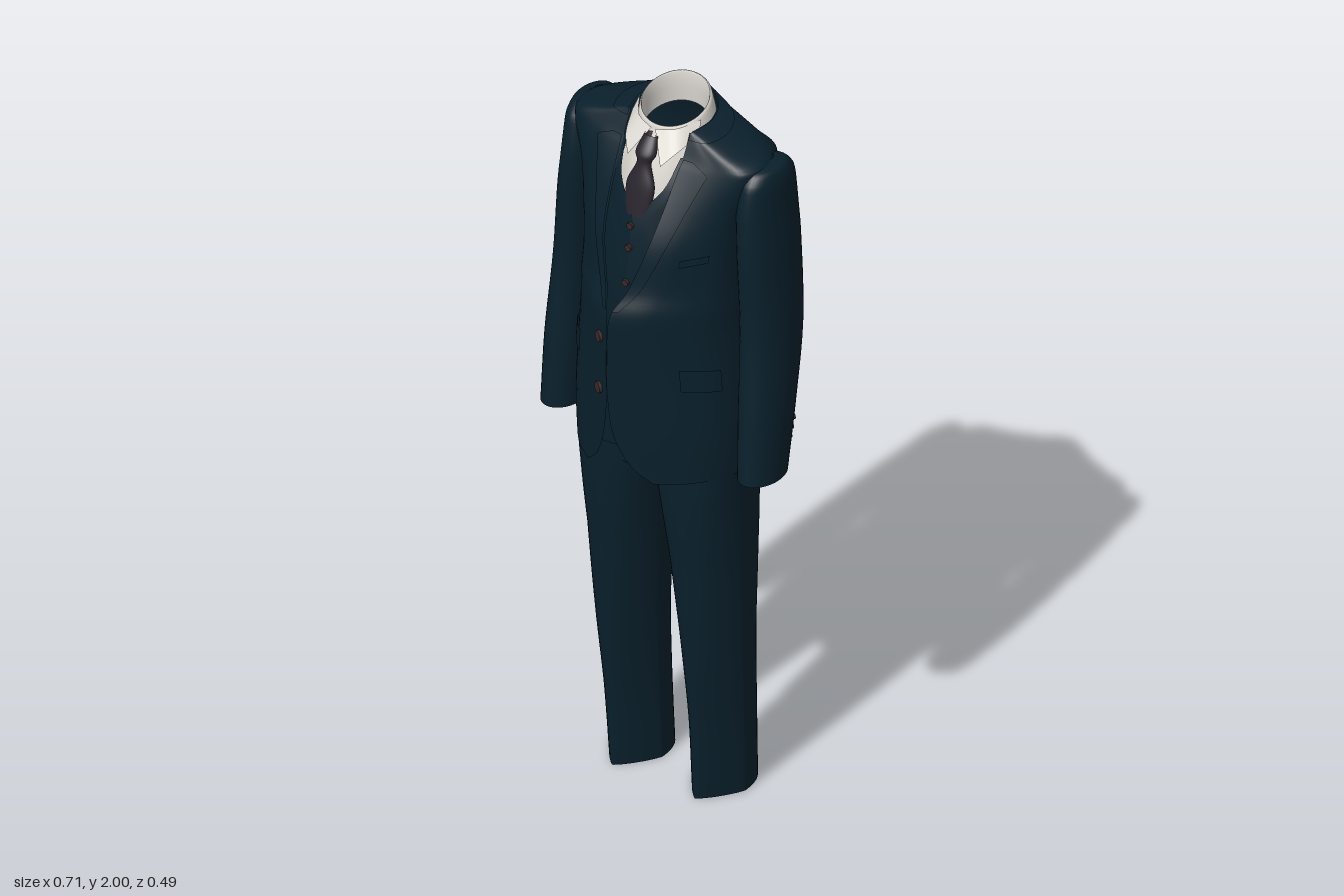
import * as THREE from 'three';
import { mergeVertices } from 'three/addons/utils/BufferGeometryUtils.js';

const V = (x, y, z) => new THREE.Vector3(x, y, z);
const mat = (name, color) =>
  Object.assign(new THREE.MeshStandardMaterial({ color, side: THREE.DoubleSide }), { name });

// Smooth surface through rows of control points: (u along a row, v across rows)
function surface(rows) {
  const curves = rows.map(r => new THREE.CatmullRomCurve3(r));
  return (u, v) => new THREE.CatmullRomCurve3(curves.map(c => c.getPoint(u))).getPoint(v);
}

// Tube of rounded sections: [y, centreX, centreZ, radiusX, radiusZ, squareness of the front half]
function loft(rows, backSquareness = 2) {
  const centre = new THREE.CatmullRomCurve3(rows.map(r => V(r[1], r[0], r[2])));
  const size = new THREE.CatmullRomCurve3(rows.map(r => V(r[3], r[4], r[5] ?? 2)));
  return (u, v) => {
    const c = centre.getPoint(v), s = size.getPoint(v), a = u * Math.PI * 2;
    const n = Math.sin(a) > 0 ? s.z : backSquareness;
    const round = t => Math.sign(t) * Math.pow(Math.abs(t), 2 / n);
    return V(c.x + s.x * round(Math.cos(a)), c.y, c.z + s.y * round(Math.sin(a)));
  };
}

// Grid mesh from a surface function
function sheet(fn, nu, nv) {
  const g = new THREE.PlaneGeometry(1, 1, nu, nv);
  const uv = g.attributes.uv, pos = g.attributes.position;
  for (let i = 0; i < pos.count; i++) {
    const p = fn(uv.getX(i), uv.getY(i));
    pos.setXYZ(i, p.x, p.y, p.z);
  }
  g.deleteAttribute('uv');
  g.deleteAttribute('normal');
  const m = mergeVertices(g, 1e-5);
  m.computeVertexNormals();
  return m;
}

// Move a point away from the body axis
const lift = (p, d) => p.clone().addScaledVector(V(p.x, 0, p.z + 0.04).normalize(), d);

// Half a jacket section, from the front edge round the side to the back seam
function jacketRow([y, gap, frontZ, w, backZ, rise]) {
  const front = V(gap, y, frontZ);
  const flank = V(w * .92, y, frontZ * .25 + .01);
  const mid = front.clone().lerp(flank, .47);
  mid.z += frontZ * .1;
  const blade = y > 1.5 && y < 1.87 ? .9 : .79;
  const row = [front, mid, flank, V(w, y, -.05), V(w * .77, y, backZ * blade),
    V(w * .36, y, backZ * .96), V(0, y, backZ)];
  row.forEach((p, i) => { p.y += rise * (i / 6) ** 3; });
  return row;
}

// Half a waistcoat section, from the front edge to the side
const vestRow = ([y, gap, z, dip]) => [
  V(gap, y, z),
  V(gap + (.197 - gap) * .27, y - dip, z - .012),
  V(gap + (.197 - gap) * .62, y - dip * .4, z - .045),
  V(.197, y, z - .115),
];

export function createModel() {
  const model = new THREE.Group();
  model.name = 'threePieceSuit';
  const navy = mat('suitNavy', 0x09202c);
  const white = mat('shirtWhite', 0xdcd9d2);
  const charcoal = mat('tieCharcoal', 0x28242c);
  const brown = mat('buttonBrown', 0x3b2828);

  const add = (name, geo, material) => {
    const m = new THREE.Mesh(geo, material);
    m.name = name;
    model.add(m);
    return m;
  };
  const pair = (name, fn, nu, nv, material) => {
    for (const s of [1, -1]) {
      const flip = (u, v) => { const p = fn(u, v); p.x *= s; return p; };
      add((s > 0 ? 'left' : 'right') + name, sheet(flip, nu, nv), material);
    }
  };
  const button = (name, p, dir, r) => {
    const b = add(name, new THREE.CylinderGeometry(r, r, 0.008, 14), brown);
    b.position.copy(p);
    b.quaternion.setFromUnitVectors(V(0, 1, 0), dir);
  };

  // Jacket: height, front gap, front z, half width, back z, rise towards the back
  const jacket = surface([
    [.985, .1, .185, .243, -.243, .035],
    [1.03, .055, .212, .243, -.24, .02],
    [1.12, .015, .235, .241, -.23, 0],
    [1.25, 0, .242, .233, -.21, 0],
    [1.4, 0, .243, .222, -.19, 0],
    [1.47, .005, .236, .222, -.193, 0],
    [1.53, .03, .2, .223, -.197, 0],
    [1.65, .065, .162, .232, -.201, 0],
    [1.75, .08, .115, .25, -.203, .03],
    [1.845, .087, .065, .28, -.18, .02],
    [1.87, .09, .05, .277, -.165, .04],
    [1.902, .091, .035, .19, -.15, .055],
    [1.93, .09, .022, .102, -.135, .052],
  ].map(jacketRow));
  pair('JacketBody', jacket, 42, 60, navy);

  // Lapels widen upward to the notch, then the collar wraps behind the neck
  const lapel = (u, v) => {
    const w = v < .8 ? .025 + .17 * v : .161 - (v - .8) * .5;
    return lift(jacket(u * w, .435 + v * .4), .006);
  };
  pair('Lapel', lapel, 6, 24, navy);
  pair('JacketCollar', (u, v) => lift(jacket(u, .95 + v * .05), .004).add(V(0, .003, 0)), 30, 4, navy);

  // Hip pocket flaps and the chest pocket welt
  pair('PocketFlap', (u, v) => lift(jacket(.235 + u * .11, .255 + v * .033 - u * .008), .005), 8, 4, navy);
  add('chestPocket', sheet((u, v) => lift(jacket(.18 + u * .1, .555 + u * .008 + v * .014), .005), 6, 2), navy);

  // Sleeves, open at the cuff
  pair('Sleeve', loft([
    [1.876, .262, -.06, .01, .03], [1.866, .265, -.06, .04, .065], [1.835, .268, -.06, .049, .09],
    [1.75, .268, -.058, .055, .104], [1.64, .275, -.056, .058, .108], [1.4, .288, -.05, .06, .104],
    [1.2, .297, -.02, .06, .09], [1.005, .302, .006, .053, .077],
  ]), 32, 36, navy);

  // Trousers: a shared seat and two open legs, creased in front and flat behind
  add('trouserSeat', sheet(loft([
    [.955, 0, -.018, .224, .126, 2.6], [1.12, 0, -.018, .215, .126, 2.5], [1.27, 0, -.018, .197, .118, 2.4],
  ], 2.6), 48, 10), navy);
  pair('TrouserLeg', loft([
    [0, .127, -.055, .078, .105, 1.2], [.2, .13, -.045, .081, .104, 1.3], [.45, .131, -.028, .089, .11, 1.5],
    [.7, .126, -.022, .102, .122, 1.8], [.9, .12, -.018, .113, .132, 2.3], [1, .116, -.018, .118, .134, 2.7],
  ], 2.3), 40, 30, navy);

  // Waistcoat with a deep neckline and pointed hem: height, gap, front z, hem dip
  const vest = surface([
    [1.22, 0, .167, .05], [1.35, 0, .167, 0], [1.5, 0, .165, 0], [1.63, 0, .15, 0],
    [1.705, .002, .135, 0], [1.79, .064, .096, 0], [1.87, .084, .05, 0],
  ].map(vestRow));
  pair('WaistcoatFront', vest, 16, 30, navy);

  // Shirt front, collar band and folded collar points
  pair('ShirtFront', surface([
    [V(0, 1.92, .043), V(.05, 1.925, .033), V(.09, 1.935, 0)],
    [V(0, 1.8, .088), V(.05, 1.8, .077), V(.1, 1.8, .045)],
    [V(0, 1.66, .122), V(.06, 1.66, .1), V(.12, 1.66, .06)],
  ]), 10, 10, white);
  const band = loft([
    [-.09, 0, -.042, .088, .08], [-.03, 0, -.041, .085, .077], [0, 0, -.041, .087, .08],
    [-.006, 0, -.042, .092, .085], [-.04, 0, -.044, .099, .091], [-.09, 0, -.045, .106, .098],
  ]);
  add('shirtCollar', sheet((u, v) => {
    const p = band(u, v);
    p.y += 1.965 - .42 * (p.z + .04);
    return p;
  }, 48, 18), white);
  pair('CollarPoint', surface([
    [V(.006, 1.925, .051), V(.055, 1.935, .035), V(.094, 1.95, -.02)],
    [V(.05, 1.85, .09), V(.078, 1.885, .06), V(.102, 1.915, 0)],
  ]), 10, 6, white);

  // Necktie: knot, pinch and blade tucked into the waistcoat
  add('necktie', sheet(loft([
    [1.912, 0, .057, .019, .012], [1.87, 0, .08, .029, .019], [1.845, 0, .088, .02, .014],
    [1.78, 0, .104, .042, .016], [1.68, 0, .126, .03, .012],
  ]), 24, 30), charcoal);

  // Jacket, waistcoat and cuff buttons
  [.328, .244].forEach((v, i) => {
    const p = lift(jacket(.06, v), .004);
    p.x *= -1;
    button('jacketButton' + (i + 1), p, V(-.48, 0, .88).normalize(), .015);
  });
  for (let i = 0; i < 5; i++) {
    const p = vest(0, .12 + i * .125).add(V(0, 0, .003));
    button('waistcoatButton' + (i + 1), p, V(0, 0, 1), .009);
  }
  for (const s of [1, -1]) for (let i = 0; i < 4; i++) {
    const p = V(s * .325, 1.06 + i * .024, -.066 - i * .007);
    button('cuffButton', p, V(s * .4, 0, -.92).normalize(), .009);
  }
  return model;
}
